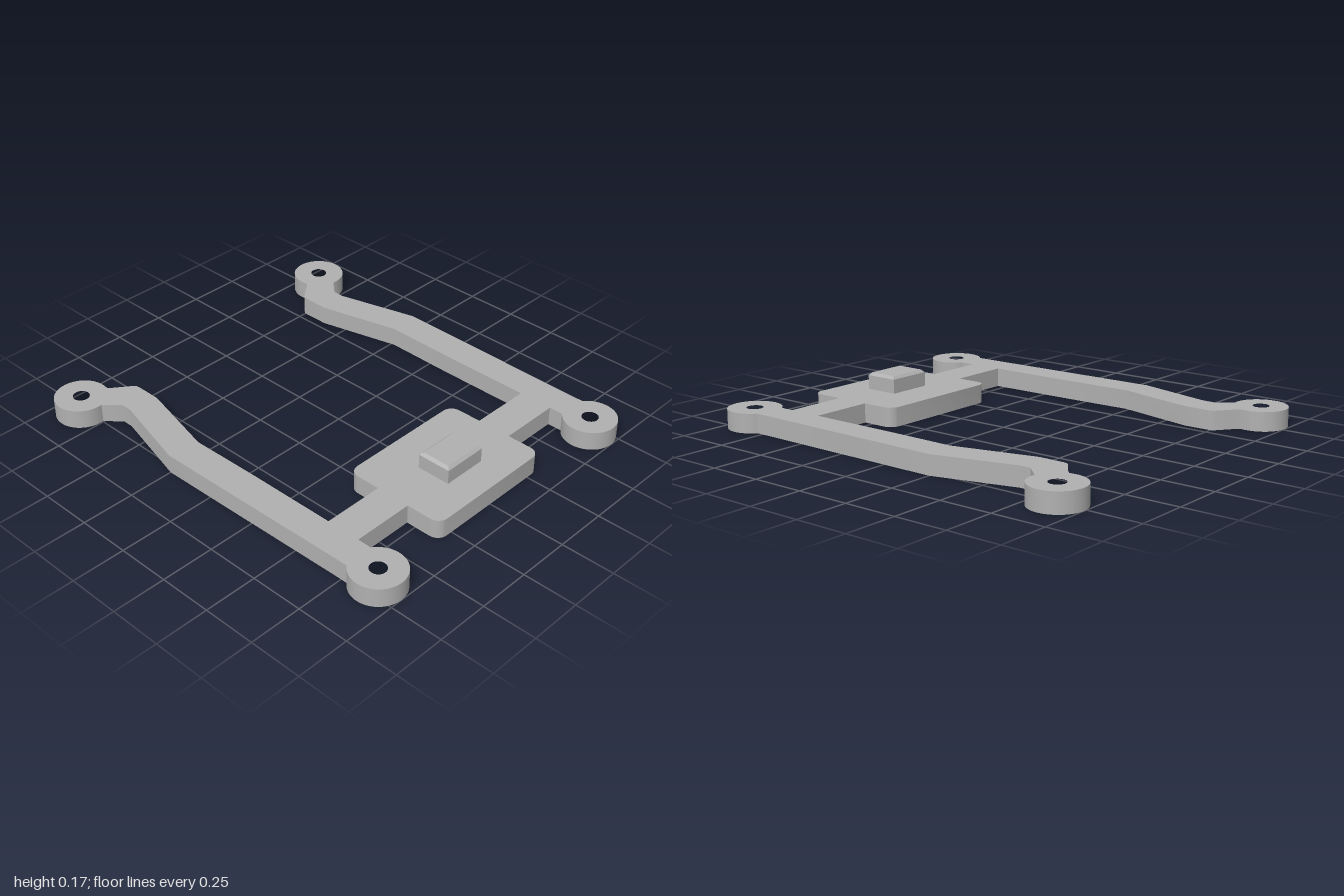
import * as THREE from 'three';
import { toCreasedNormals } from 'three/addons/utils/BufferGeometryUtils.js';

const THICK = 0.09;
const RING_R = 0.123, HOLE_R = 0.038;
const FRONT = [0.693, 0.877], REAR = [0.765, -0.877];

// points along an arc in the x-z plane
function arc([cx, cz], r, a0, a1, n) {
  return Array.from({ length: n + 1 }, (_, i) => {
    const a = a0 + (a1 - a0) * i / n;
    return [cx + r * Math.cos(a), cz + r * Math.sin(a)];
  });
}

export function createModel() {
  const gray = new THREE.MeshStandardMaterial({ color: 0xb0b0b0 });
  gray.name = 'light gray';
  const model = new THREE.Group();
  model.name = 'mountingBracket';

  // one half of the frame outline, from the front centre round to the back of the plate
  const half = [
    ...arc([0.28, 0.827], 0.05, Math.PI / 2, 0, 8),
    [0.33, 0.707], [0.625, 0.707],
    // front mounting ring
    ...arc(FRONT, RING_R, -2.159, -0.912 - 2 * Math.PI, 48),
    // outer edge of the arm
    [0.768, 0.72], [0.778, 0.1], [0.783, -0.25], [0.683, -0.633], [0.683, -0.685], [0.735, -0.742],
    // rear mounting ring
    ...arc(REAR, RING_R, 1.72, -3.266, 48),
    // inner edge of the arm
    [0.645, -0.842], [0.628, -0.825], [0.552, -0.768], [0.542, -0.755], [0.54, -0.735],
    [0.54, -0.617], [0.633, -0.234], [0.627, 0.1], [0.625, 0.543],
    // cross bar and plate corner
    [0.33, 0.543],
    ...arc([0.28, 0.428], 0.05, 0, -Math.PI / 2, 8),
  ];
  const outline = [...half, ...half.slice().reverse().map(([x, z]) => [-x, z])];
  const shape = new THREE.Shape(outline.map(([x, z]) => new THREE.Vector2(x, z)));

  // screw holes
  for (const [x, z] of [FRONT, REAR]) {
    for (const side of [1, -1]) {
      const hole = new THREE.Path();
      hole.absarc(side * x, z, HOLE_R, 0, Math.PI * 2, true);
      shape.holes.push(hole);
    }
  }

  let frameGeo = new THREE.ExtrudeGeometry(shape, { depth: THICK, bevelEnabled: false, curveSegments: 16 });
  frameGeo.rotateX(Math.PI / 2).translate(0, THICK, 0);
  frameGeo = toCreasedNormals(frameGeo, 0.4);
  const frame = new THREE.Mesh(frameGeo, gray);
  frame.name = 'frame';
  model.add(frame);

  // raised block with a chamfered top edge
  const W = 0.216, D = 0.162, H = 0.08, CH = 0.013;
  let blockGeo = new THREE.BoxGeometry(W, H, D, 1, 2, 1);
  const p = blockGeo.attributes.position;
  for (let i = 0; i < p.count; i++) {
    if (p.getY(i) > H / 4) {
      p.setX(i, p.getX(i) - Math.sign(p.getX(i)) * CH);
      p.setZ(i, p.getZ(i) - Math.sign(p.getZ(i)) * CH);
    } else if (p.getY(i) > -H / 4) {
      p.setY(i, H / 2 - CH);
    }
  }
  blockGeo = blockGeo.toNonIndexed();
  blockGeo.computeVertexNormals();
  const block = new THREE.Mesh(blockGeo, gray);
  block.name = 'raisedBlock';
  block.position.set(0, THICK + H / 2, 0.652);
  model.add(block);

  return model;
}
